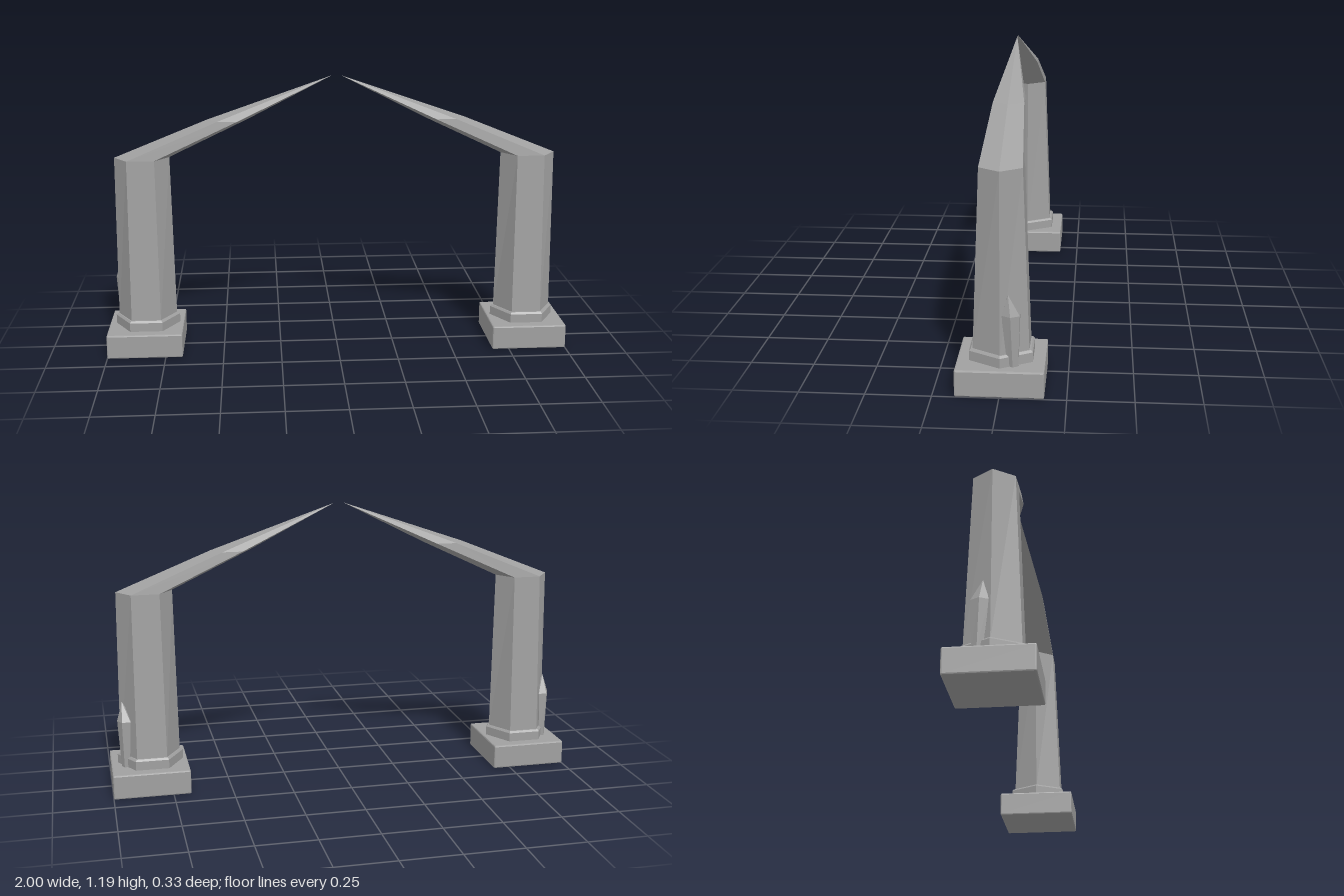
import * as THREE from 'three';
import { RoundedBoxGeometry } from 'three/addons/geometries/RoundedBoxGeometry.js';

// Flat-faced hexagonal loft through rings of [centreX, y, centreZ, halfX, halfZ], points facing +-x
function hexLoft(rings) {
  const pos = [];
  const point = ([cx, y, cz, hx, hz], i) => {
    const a = (i * Math.PI) / 3;
    return [cx + hx * Math.cos(a), y, cz + (hz * Math.sin(a)) / Math.sin(Math.PI / 3)];
  };
  const first = rings[0], last = rings[rings.length - 1];
  for (let i = 0; i < 6; i++) {
    for (let r = 0; r < rings.length - 1; r++) {
      const a = point(rings[r], i), b = point(rings[r], i + 1);
      const c = point(rings[r + 1], i), d = point(rings[r + 1], i + 1);
      pos.push(...a, ...c, ...b);
      if (rings[r + 1][3] > 0) pos.push(...b, ...c, ...d);
    }
    // end caps, skipped where the loft closes to a tip
    pos.push(...first.slice(0, 3), ...point(first, i), ...point(first, i + 1));
    if (last[3] > 0) pos.push(...last.slice(0, 3), ...point(last, i + 1), ...point(last, i));
  }
  const geo = new THREE.BufferGeometry();
  geo.setAttribute('position', new THREE.Float32BufferAttribute(pos, 3));
  geo.computeVertexNormals();
  return geo;
}

export function createModel() {
  const model = new THREE.Group();
  model.name = 'brokenArch';
  const stone = new THREE.MeshStandardMaterial({ color: 0xa0a0a0 });
  stone.name = 'grey stone';

  for (const side of [1, -1]) {
    const half = new THREE.Group();
    half.name = side > 0 ? 'leftHalf' : 'rightHalf';
    const add = (name, geo) => {
      const mesh = new THREE.Mesh(geo, stone);
      mesh.name = name;
      half.add(mesh);
    };
    const loft = (name, rings) => add(name, hexLoft(rings.map(([x, ...rest]) => [side * x, ...rest])));

    // square foot with softened edges
    const foot = new RoundedBoxGeometry(0.324, 0.105, 0.334, 1, 0.006);
    foot.translate(side * 0.838, 0.0525, 0);
    foot.computeVertexNormals();
    add('footBlock', foot);

    // hexagonal collar with a chamfered top
    loft('collar', [
      [0.832, 0.1, 0, 0.139, 0.12],
      [0.832, 0.143, 0, 0.139, 0.12],
      [0.832, 0.151, 0, 0.131, 0.113],
    ]);

    // tapering column that bends inward and closes to a point
    loft('columnAndArm', [
      [0.832, 0.14, 0, 0.126, 0.107],
      [0.832, 0.85, 0, 0.117, 0.081],
      [0.465, 1.01, 0, 0.086, 0.061],
      [0.02, 1.193, 0, 0, 0],
    ]);

    // small crystal growing against the outer back face
    loft('crystal', [
      [0.935, 0.105, -0.048, 0.022, 0.02],
      [0.932, 0.305, -0.04, 0.036, 0.034],
      [0.945, 0.385, -0.03, 0, 0],
    ]);
    model.add(half);
  }
  return model;
}
